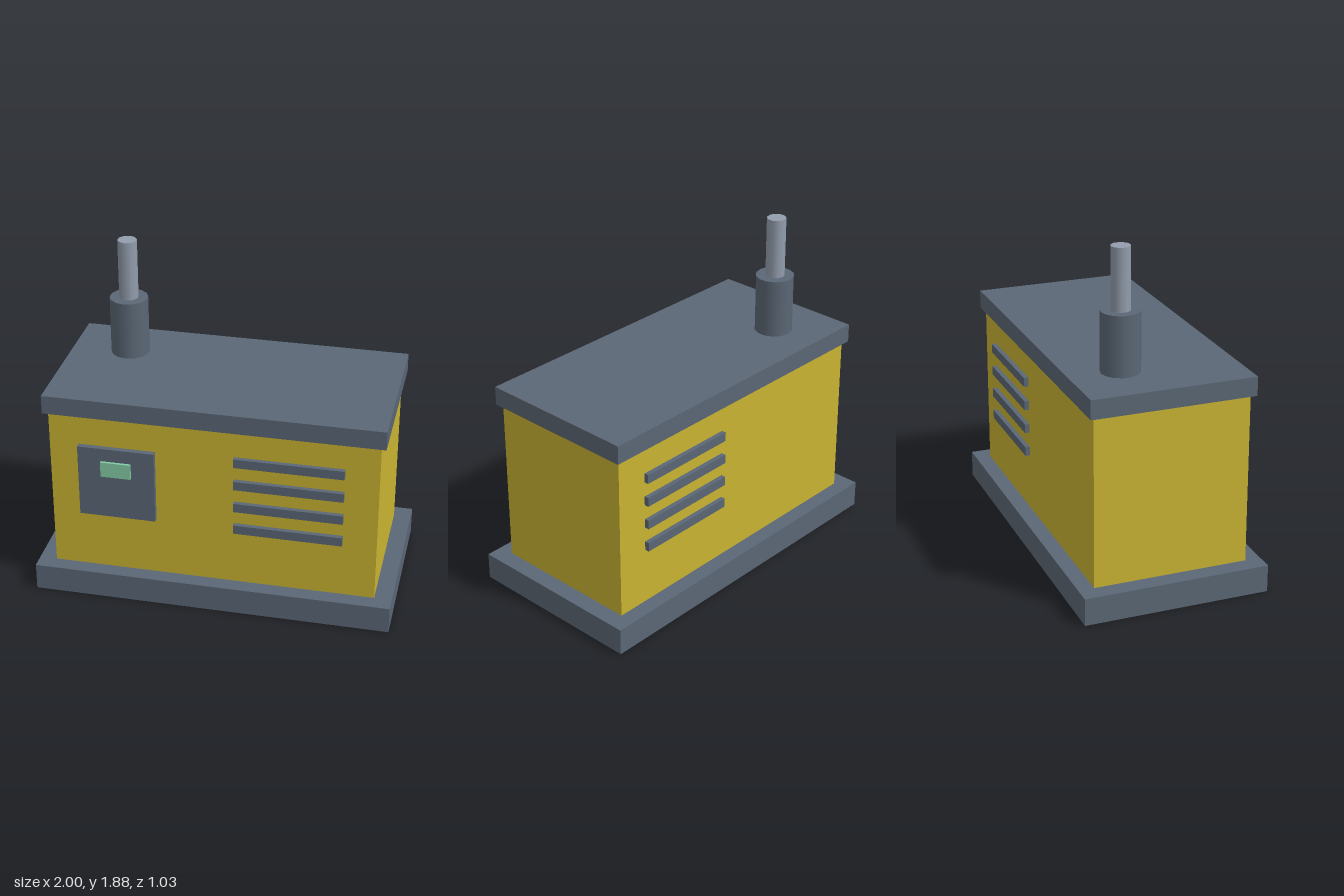
import * as THREE from 'three';

const material = (name, color) => {
  const m = new THREE.MeshStandardMaterial({ color });
  m.name = name;
  return m;
};

export function createModel() {
  const slate = material('slate grey', 0x5b6775);
  const yellow = material('yellow paint', 0xc9b432);
  const steel = material('light steel', 0x929dac);
  const green = material('screen green', 0x82cca4);

  const model = new THREE.Group();
  model.name = 'generator';

  const add = (name, geometry, mat, x, y, z) => {
    const mesh = new THREE.Mesh(geometry, mat);
    mesh.name = name;
    mesh.position.set(x, y, z);
    model.add(mesh);
  };
  // Box given by its limits on each axis
  const box = (name, mat, [x0, x1], [y0, y1], [z0, z1]) =>
    add(name, new THREE.BoxGeometry(x1 - x0, y1 - y0, z1 - z0), mat,
      (x0 + x1) / 2, (y0 + y1) / 2, (z0 + z1) / 2);
  // Upright cylinder on the exhaust axis
  const stack = (name, mat, radius, y0, y1, sides) =>
    add(name, new THREE.CylinderGeometry(radius, radius, y1 - y0, sides), mat,
      -0.603, (y0 + y1) / 2, -0.17);

  // Housing
  box('base', slate, [-1, 1], [0, 0.153], [-0.517, 0.517]);
  box('body', yellow, [-0.903, 0.903], [0.153, 1.102], [-0.43, 0.43]);
  box('roof', slate, [-0.93, 0.93], [1.102, 1.208], [-0.455, 0.455]);

  // Control panel and its screen
  box('controlPanel', slate, [-0.74, -0.314], [0.5, 0.924], [0.42, 0.461]);
  box('screen', green, [-0.61, -0.443], [0.759, 0.848], [0.45, 0.476]);

  // Louvres on the front and back
  for (const side of [1, -1]) {
    for (let i = 0; i < 4; i++) {
      const y = 0.505 + i * 0.1385;
      const z = side > 0 ? [0.42, 0.456] : [-0.456, -0.42];
      box(side > 0 ? 'frontLouvre' : 'backLouvre', slate, [0.12, 0.718], [y - 0.026, y + 0.026], z);
    }
  }

  // Exhaust
  stack('muffler', slate, 0.107, 1.208, 1.54, 14);
  stack('exhaustPipe', steel, 0.0535, 1.54, 1.88, 10);

  return model;
}
